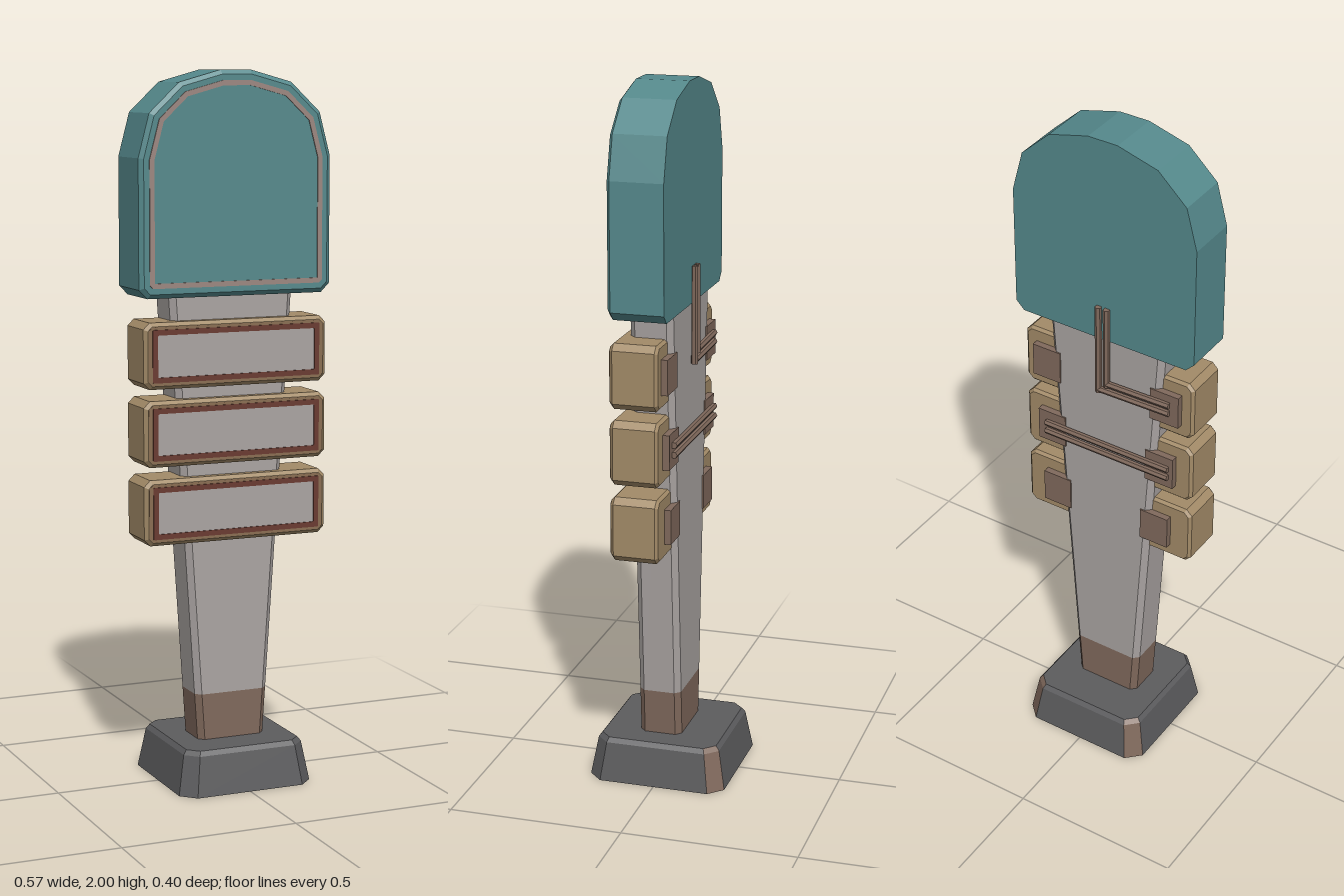
import * as THREE from 'three';

const mat = (name, color, side = THREE.FrontSide) => {
  const m = new THREE.MeshStandardMaterial({ color, side });
  m.name = name;
  return m;
};

// Chamfered rectangle, counter-clockwise
const octagon = (hx, hy, c, cy = 0) => [
  [hx, -hy + c], [hx, hy - c], [hx - c, hy], [-hx + c, hy],
  [-hx, hy - c], [-hx, -hy + c], [-hx + c, -hy], [hx - c, -hy],
].map(([x, y]) => [x, y + cy]);

// Move every edge of a convex loop inwards by d
function inset(loop, d) {
  const n = loop.length;
  const normal = (i) => {
    const a = loop[i], b = loop[(i + 1) % n];
    const dx = b[0] - a[0], dy = b[1] - a[1], l = Math.hypot(dx, dy);
    return [-dy / l, dx / l];
  };
  return loop.map((p, i) => {
    const a = normal((i + n - 1) % n), b = normal(i);
    const k = d / (1 + a[0] * b[0] + a[1] * b[1]);
    return [p[0] + (a[0] + b[0]) * k, p[1] + (a[1] + b[1]) * k];
  });
}

// Flat-sided solid through convex loops [loop, z] stacked along z.
// Sides listed in accents use the second material.
function loft(sections, accents = []) {
  const sets = [[], []];
  const at = ([loop, z], i) => [...loop[i % loop.length], z];
  const n = sections[0][0].length;
  for (let s = 0; s + 1 < sections.length; s++) {
    for (let i = 0; i < n; i++) {
      const a = at(sections[s], i), b = at(sections[s], i + 1);
      const c = at(sections[s + 1], i + 1), d = at(sections[s + 1], i);
      sets[accents.includes(i) ? 1 : 0].push(a, b, c, a, c, d);
    }
  }
  const first = sections[0], last = sections[sections.length - 1];
  for (let i = 1; i < n - 1; i++) {
    sets[0].push(at(first, 0), at(first, i + 1), at(first, i));
    sets[0].push(at(last, 0), at(last, i), at(last, i + 1));
  }
  const g = new THREE.BufferGeometry();
  g.setAttribute('position', new THREE.Float32BufferAttribute([...sets[0], ...sets[1]].flat(), 3));
  g.addGroup(0, sets[0].length, 0);
  if (sets[1].length) g.addGroup(sets[0].length, sets[1].length, 1);
  g.computeVertexNormals();
  return g;
}

// Plate between z0 and z1, with an optional hole
function plate(outer, hole, z0, z1) {
  const v = (l) => l.map(([x, y]) => new THREE.Vector2(x, y));
  const shape = new THREE.Shape(v(outer));
  if (hole) shape.holes.push(new THREE.Path(v(hole)));
  return new THREE.ExtrudeGeometry(shape, { depth: z1 - z0, bevelEnabled: false }).translate(0, 0, z0);
}

export function createModel() {
  const teal = mat('teal paint', 0x55898c);
  const grey = mat('pale grey metal', 0xaaa4a2);
  const tan = mat('tan casing', 0xa38b68);
  const dark = mat('dark grey base', 0x5c5c5e);
  const brown = mat('brown rust', 0x80695c);
  const border = mat('brown border', 0x8a6e52);
  const red = mat('dark red trim', 0x6a3a30);
  const trim = mat('dusty trim', 0x9c8780);

  const model = new THREE.Group();
  const add = (name, geometry, material, parent = model) => {
    const m = new THREE.Mesh(geometry, material);
    m.name = name;
    parent.add(m);
    return m;
  };

  // Base, with worn rear corners
  add('base', loft([
    [octagon(0.2, 0.2, 0.04), 0],
    [octagon(0.18, 0.18, 0.035), 0.112],
    [octagon(0.17, 0.17, 0.03), 0.125],
  ], [1, 3]).rotateX(-Math.PI / 2), [dark, brown]);

  // Post, widening upwards, with a rusty foot
  const postHalf = (y) => 0.1 + (y - 0.12) * 0.0665;
  const postLoop = (y) => [octagon(postHalf(y), 0.061, 0.016, -0.009), y];
  const postPart = (a, b) => loft([postLoop(a), postLoop(b)]).rotateX(-Math.PI / 2);
  add('postFoot', postPart(0.12, 0.257), brown);
  add('post', postPart(0.257, 1.44), grey);

  // Arched head panel
  const half = [[0.26, 1.385], [0.285, 1.41], [0.285, 1.765], [0.253, 1.885], [0.166, 1.967], [0.045, 2]];
  const arch = [...half, ...half.map(([x, y]) => [-x, y]).reverse()];
  add('headPanel', loft([[arch, -0.06], [arch, 0.09], [inset(arch, 0.012), 0.1]]), teal);
  add('headTrim', plate(inset(arch, 0.028), inset(arch, 0.042), 0.099, 0.103), trim);

  // Three sign boxes with framed fronts and rear brackets
  for (const y of [1.228, 1.012, 0.793]) {
    const box = new THREE.Group();
    box.name = 'signBox';
    box.position.y = y;
    model.add(box);
    const loop = octagon(0.273, 0.092, 0.018);
    add('casing', loft([
      [inset(loop, 0.008), -0.037], [loop, -0.029], [loop, 0.09], [inset(loop, 0.01), 0.1],
    ]), tan, box);
    const outer = octagon(0.25, 0.073, 0.002), inner = octagon(0.235, 0.058, 0.002);
    add('frontBorder', plate(inset(loop, 0.011), outer, 0.099, 0.101), border, box);
    add('redTrim', plate(outer, inner, 0.099, 0.104), red, box);
    add('frontPlate', plate(inner, null, 0.099, 0.101), grey, box);
    for (const s of [-1, 1]) {
      add('bracket', new THREE.BoxGeometry(0.09, 0.1, 0.022), brown, box)
        .position.set(s * (postHalf(y) + 0.018), 0, -0.045);
    }
  }

  // Paired cables on the back
  const cable = (name, a, b) => {
    const from = new THREE.Vector3(...a), to = new THREE.Vector3(...b);
    const dir = to.clone().sub(from);
    const g = new THREE.CylinderGeometry(0.0095, 0.0095, dir.length(), 6).toNonIndexed();
    g.computeVertexNormals();
    const m = add(name, g, brown);
    m.position.copy(from).add(to).multiplyScalar(0.5);
    m.quaternion.setFromUnitVectors(new THREE.Vector3(0, 1, 0), dir.normalize());
  };
  for (const s of [-1, 1]) {
    const x = s * 0.013, y = 1.233 - s * 0.013;
    cable('upperCableVertical', [x, y - 0.009, -0.066], [x, 1.49, -0.066]);
    cable('upperCableHorizontal', [x, y, -0.066], [-0.21, y, -0.06]);
    cable('lowerCable', [0.195, 1.013 + s * 0.014, -0.061], [-0.21, 1.013 + s * 0.014, -0.061]);
  }

  return model;
}
